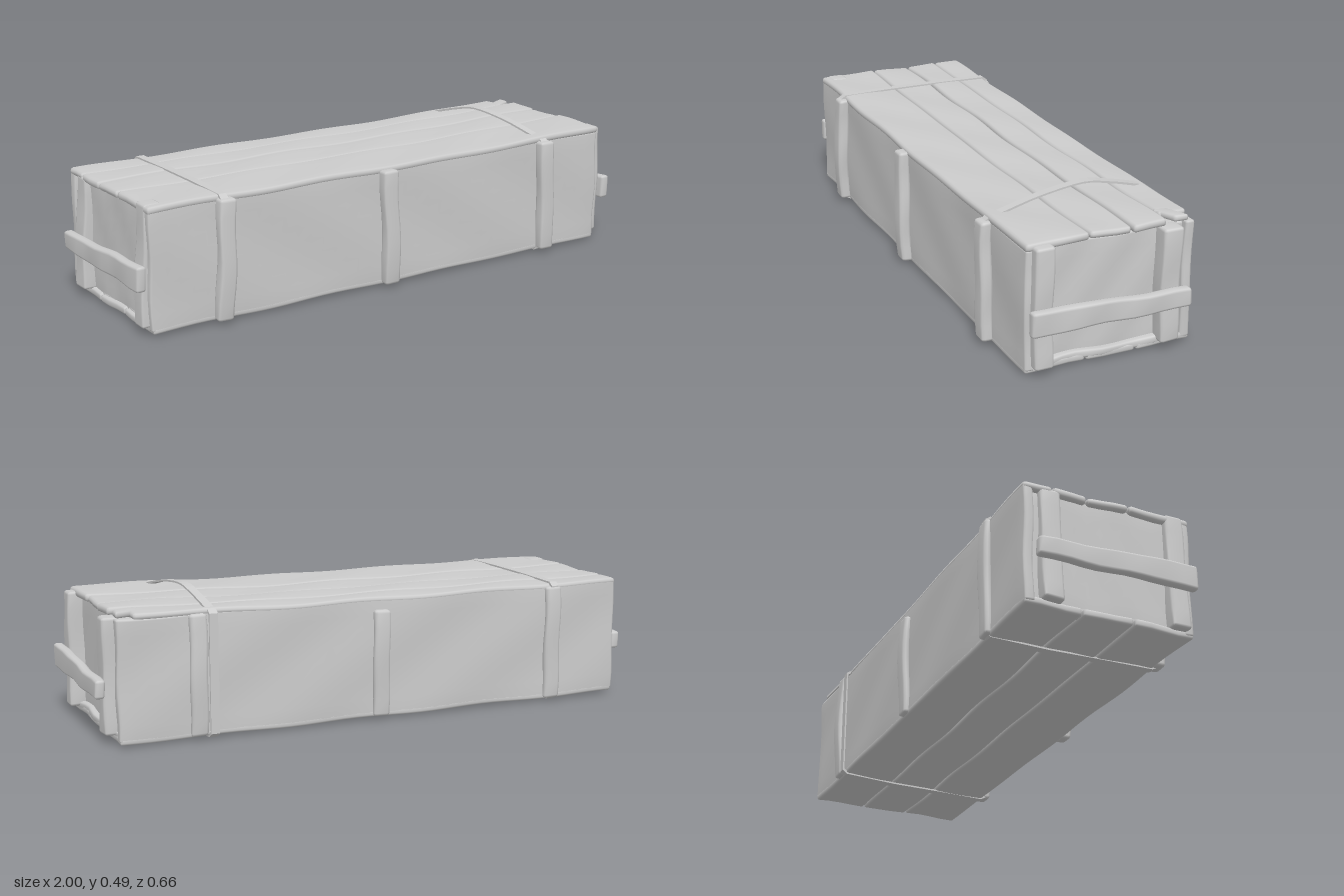
import * as THREE from 'three';
import { mergeVertices } from 'three/addons/utils/BufferGeometryUtils.js';

const material = new THREE.MeshStandardMaterial({ color: 0xcccccc, side: THREE.DoubleSide });

// Places segment i of n, keeping the outer segments as narrow soft edges
function spread(t, size, n, r) {
  const i = Math.round((t / size + 0.5) * n), h = size / 2;
  if (i === 0) return -h;
  if (i === n) return h;
  return -h + r + (size - 2 * r) * (i - 1) / (n - 2);
}

// Worn, soft-edged board given by its min and max corners
function board(name, min, max, { r = 0.008, wear = 0.0025, warp } = {}) {
  const size = [0, 1, 2].map(k => max[k] - min[k]);
  const segs = size.map(s => Math.min(40, Math.max(3, Math.round(s / 0.05) + 2)));
  const rad = Math.min(r, ...size.map(s => s * 0.4));
  let geo = new THREE.BoxGeometry(...size, ...segs);
  const pos = geo.attributes.position;
  for (let i = 0; i < pos.count; i++) {
    const p = [pos.getX(i), pos.getY(i), pos.getZ(i)].map((v, k) => spread(v, size[k], segs[k], rad));
    const inner = p.map((v, k) => THREE.MathUtils.clamp(v, rad - size[k] / 2, size[k] / 2 - rad));
    const d = new THREE.Vector3(...p.map((v, k) => v - inner[k])).setLength(rad);
    const v = new THREE.Vector3(...inner).add(d);
    v.set(v.x + (min[0] + max[0]) / 2, v.y + (min[1] + max[1]) / 2, v.z + (min[2] + max[2]) / 2);
    const { x, y, z } = v;
    v.x += wear * Math.sin(23 * y + 31 * z);
    v.y += wear * Math.sin(13 * x + 19 * z);
    v.z += wear * Math.sin(11 * x + 17 * y);
    if (warp) warp(v);
    pos.setXYZ(i, v.x, v.y, v.z);
  }
  geo.deleteAttribute('uv');
  geo.deleteAttribute('normal');
  geo = mergeVertices(geo, 1e-5);
  geo.computeVertexNormals();
  const mesh = new THREE.Mesh(geo, material);
  mesh.name = name;
  return mesh;
}

// Thin band around the crate; points are [z, y], and it slants in x along z
function strap(name, x, slant, width, outline) {
  const loop = grow => outline.map(([z, y]) => new THREE.Vector2(
    z + grow * Math.sign(z) * Math.min(1, Math.abs(z) / 0.25),
    y + grow * Math.sign(y - 0.2)));
  const shape = new THREE.Shape(loop(0));
  shape.holes.push(new THREE.Path(loop(-0.006)));
  const geo = new THREE.ExtrudeGeometry(shape, { depth: width, bevelEnabled: false });
  geo.rotateY(-Math.PI / 2).translate(x + width / 2, 0, 0);
  const pos = geo.attributes.position;
  for (let i = 0; i < pos.count; i++) pos.setX(i, pos.getX(i) + slant * pos.getZ(i));
  geo.computeVertexNormals();
  const mesh = new THREE.Mesh(geo, material);
  mesh.name = name;
  return mesh;
}

export function createModel() {
  const crate = new THREE.Group();
  crate.name = 'crate';

  // Inner box whose ends are the recessed end panels
  crate.add(board('endPanels', [-0.93, 0.025, -0.275], [0.91, 0.419, 0.262]));

  // Long side walls
  crate.add(board('frontWall', [-0.948, 0.018, 0.25], [0.932, 0.426, 0.284]));
  crate.add(board('backWall', [-0.948, 0.018, -0.304], [0.932, 0.426, -0.27]));

  // Lid and floor planks; the lid rises a little at its left end
  const lift = v => { v.y += 0.012 * THREE.MathUtils.smoothstep(v.x, 0.2, 0.93); };
  const seams = [[0.07, 0.286], [-0.077, 0.064], [-0.2, -0.083], [-0.304, -0.204]];
  seams.forEach(([a, b], i) => {
    // The rear lid plank is broken short at one corner
    const end = i === 3 ? 0.875 : 0.935 - 0.006 * (i % 2);
    crate.add(board('lidPlank', [-0.95, 0.408, a], [end, 0.435 - 0.002 * (i % 2), b], { r: 0.01, warp: lift }));
  });
  crate.add(board('splinter', [0.84, 0.412, -0.265], [0.925, 0.434, -0.215], {
    warp: v => { lift(v); v.z -= 0.4 * (v.x - 0.88); }
  }));
  [[0.075, 0.284], [-0.105, 0.07], [-0.304, -0.11]].forEach(([a, b]) =>
    crate.add(board('floorPlank', [-0.945, 0.01, a], [0.93, 0.036, b])));

  // Upright battens on the long sides, bowed outwards
  const bow = s => v => { v.z += s * 0.008 * (1 - ((v.y - 0.22) / 0.21) ** 2); };
  [-0.685, -0.035, 0.665].forEach((x, i) => {
    const lean = v => { bow(1)(v); v.x += (i === 0 ? 0.04 : -0.03) * (v.y - 0.22); };
    crate.add(board('frontBatten', [x - 0.03, 0.014, 0.275], [x + 0.03, 0.425, 0.318], { r: 0.011, warp: lean }));
  });
  [-0.68, 0.0, 0.66].forEach((x, i) =>
    crate.add(board('backBatten', [x - 0.03, 0.014, -0.32], [x + 0.03, i === 1 ? 0.388 : 0.425, -0.29],
      { r: 0.011, warp: bow(-1) })));

  // End cleats and the carrying bar across them
  for (const s of [1, -1]) {
    const end = new THREE.Group();
    end.name = s > 0 ? 'leftEndFrame' : 'rightEndFrame';
    const span = (a, b) => s > 0 ? [a, b] : [-b, -a];
    const [c0, c1] = span(0.9, 0.964), [b0, b1] = span(0.962, 0.997);
    const lean = v => { if (s < 0) v.x += 0.06 * (v.y - 0.2); };
    for (const [a, b] of [[0.198, 0.264], [-0.248, -0.178]])
      end.add(board('endCleat', [c0, 0.03, a], [c1, a > 0 ? 0.438 : 0.422, b], { r: 0.01, warp: lean }));
    end.add(board('carryBar', [b0, 0.16, -0.272], [b1, 0.234, 0.286], {
      r: 0.01, warp: v => { if (v.y > 0.2) v.y += 0.012 * (v.z / 0.28); }
    }));
    // Low rail along the foot of the end panel
    const [f0, f1] = span(0.89, 0.93);
    end.add(board('footRail', [f0, 0.018, -0.27], [f1, 0.045, 0.255], { wear: 0.004 }));
    crate.add(end);
  }

  // Straps: one lies flat, the other arches loosely over the lid
  const around = [[-0.3, 0.006], [-0.1, 0.002], [0.1, 0.006], [0.28, 0.008], [0.302, 0.02], [0.302, 0.425], [0.285, 0.438]];
  const back = [[-0.3, 0.438], [-0.318, 0.425], [-0.318, 0.02]];
  const arch = new THREE.SplineCurve([[0.24, 0.445], [0.1, 0.475], [-0.06, 0.491], [-0.17, 0.472], [-0.27, 0.445]]
    .map(p => new THREE.Vector2(...p))).getPoints(16).map(p => [p.x, p.y]);
  crate.add(strap('flatStrap', -0.685, 0, 0.028, [...around, [0.1, 0.441], [-0.1, 0.441], ...back]));
  crate.add(strap('looseStrap', 0.634, 0.08, 0.03, [...around, ...arch, ...back]));

  return crate;
}
